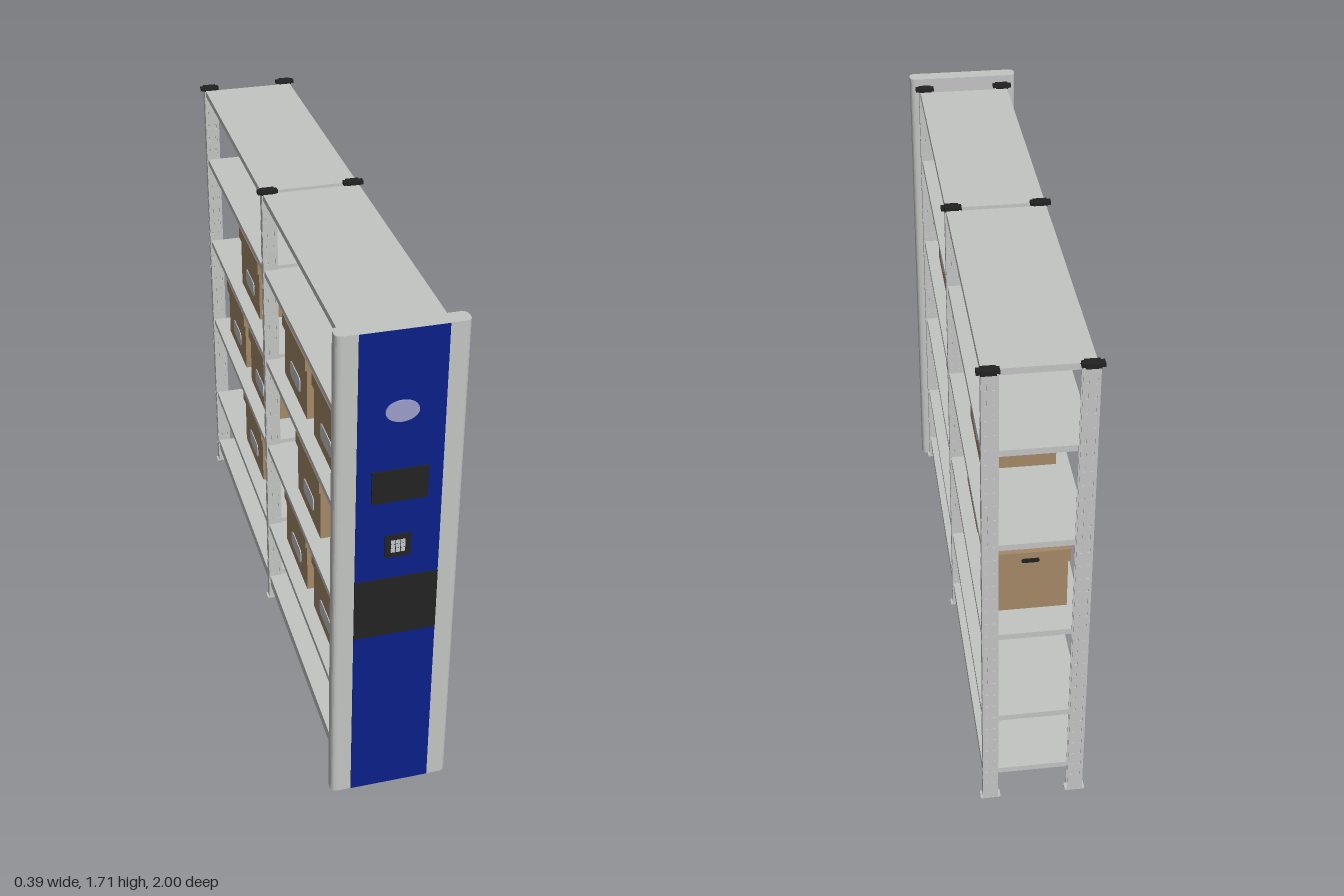
import * as THREE from 'three';

const mat = (name, color) => {
  const m = new THREE.MeshStandardMaterial({ color });
  m.name = name;
  return m;
};

export function createModel() {
  const steel = mat('light grey steel', 0xc3c5c3);
  const blue = mat('deep blue', 0x0b1f88);
  const black = mat('black plastic', 0x222222);
  const card = mat('brown cardboard', 0xa58968);
  const lilac = mat('pale lilac', 0x9a9dca);
  const label = mat('label grey', 0xc2c5c8);

  const root = new THREE.Group();
  root.name = 'shelvingUnit';

  const add = (parent, name, geo, material, x = 0, y = 0, z = 0) => {
    const m = new THREE.Mesh(geo, material);
    m.name = name;
    m.position.set(x, y, z);
    parent.add(m);
    return m;
  };
  const box = (parent, name, material, w, h, d, x, y, z) =>
    add(parent, name, new THREE.BoxGeometry(w, h, d), material, x, y, z);
  const group = (parent, name, x = 0, y = 0, z = 0) => {
    const g = new THREE.Group();
    g.name = name;
    g.position.set(x, y, z);
    parent.add(g);
    return g;
  };
  // rounded rectangle centred on the origin
  const roundRect = (w, h, r) => {
    const s = new THREE.Shape(), a = w / 2, b = h / 2;
    s.moveTo(-a + r, -b);
    s.lineTo(a - r, -b); s.quadraticCurveTo(a, -b, a, -b + r);
    s.lineTo(a, b - r); s.quadraticCurveTo(a, b, a - r, b);
    s.lineTo(-a + r, b); s.quadraticCurveTo(-a, b, -a, b - r);
    s.lineTo(-a, -b + r); s.quadraticCurveTo(-a, -b, -a + r, -b);
    return s;
  };
  const extrude = (shape, depth, curveSegments = 6) =>
    new THREE.ExtrudeGeometry(shape, { depth, bevelEnabled: false, curveSegments });

  // ---- Front end panel ----
  const panel = group(root, 'endPanel');
  const bodyGeo = extrude(roundRect(0.39, 0.054, 0.022), 1.71);
  bodyGeo.rotateX(-Math.PI / 2);
  add(panel, 'panelBody', bodyGeo, steel, 0, 0, 0.964);
  box(panel, 'bluePlate', blue, 0.26, 1.708, 0.004, 0, 0.855, 0.991);
  box(panel, 'darkBand', black, 0.26, 0.22, 0.003, 0, 0.75, 0.9935);
  box(panel, 'screen', black, 0.17, 0.11, 0.007, 0, 1.198, 0.9955);
  box(panel, 'keypad', black, 0.08, 0.08, 0.006, 0, 0.98, 0.995);
  for (let i = -1; i <= 1; i++)
    for (let j = -1; j <= 1; j++)
      box(panel, 'key', label, 0.013, 0.013, 0.002, i * 0.0155, 0.98 + j * 0.0155, 0.999);
  const oval = new THREE.Shape().absellipse(0, 0, 0.05, 0.035, 0, Math.PI * 2);
  add(panel, 'ovalBadge', extrude(oval, 0.006, 16), lilac, 0, 1.45, 0.992);

  // ---- Perforated posts ----
  const H = 1.672, POST_W = 0.05, POST_D = 0.028;
  const perforated = (w, columns, hw, hh) => {
    const s = new THREE.Shape();
    s.moveTo(-w / 2, 0); s.lineTo(w / 2, 0); s.lineTo(w / 2, H); s.lineTo(-w / 2, H);
    for (let y = 0.08; y < H - 0.03; y += 0.05)
      for (const c of columns) {
        const h = new THREE.Path();
        h.moveTo(c - hw, y - hh); h.lineTo(c - hw, y + hh);
        h.lineTo(c + hw, y + hh); h.lineTo(c + hw, y - hh);
        s.holes.push(h);
      }
    return extrude(s, 0.003);
  };
  const flangeGeo = perforated(POST_W, [-0.012, 0.012], 0.004, 0.009);
  flangeGeo.translate(0, 0, -0.0015);
  const webGeo = perforated(POST_D, [-0.009, 0.009], 0.002, 0.009);
  webGeo.translate(0, 0, -0.0015);
  webGeo.rotateY(Math.PI / 2);

  const postZ = [0.922, -0.0315, -0.985];
  for (const z of postZ)
    for (const side of [1, -1]) {
      const post = group(root, 'post', side * 0.14, 0, z);
      for (const f of [1, -1])
        add(post, 'postFlange', flangeGeo, steel, 0, 0, f * (POST_D / 2 - 0.0015));
      add(post, 'postWeb', webGeo, steel, side * (POST_W / 2 - 0.0015), 0, 0);
      box(post, 'postFoot', steel, 0.066, 0.005, 0.029, 0, 0.0025, 0);
      box(post, 'postCap', black, 0.045, 0.016, 0.03, side * 0.003, 1.677, 0);
      box(post, 'postCapLip', black, 0.066, 0.012, 0.022, side * 0.004, 1.677, 0);
    }

  // ---- Folded sheet shelves, hollow underneath ----
  const LEN = 0.925;
  const levels = [0.105, 0.348, 0.698, 1.053, 1.397, 1.672];
  for (const z of [0.4395, -0.508])
    levels.forEach((top, i) => {
      const shelf = group(root, 'shelf', 0, top, z);
      box(shelf, 'shelfTop', steel, 0.322, 0.004, LEN, 0, -0.002, 0);
      for (const s of [1, -1]) {
        box(shelf, 'sideLip', steel, 0.004, 0.018, LEN, s * 0.159, -0.012, 0);
        box(shelf, 'sideReturn', steel, 0.012, 0.003, LEN, s * 0.152, -0.0195, 0);
        box(shelf, 'endLip', steel, 0.314, 0.018, 0.004, 0, -0.012, s * (LEN / 2 - 0.002));
        box(shelf, 'endReturn', steel, 0.314, 0.003, 0.012, 0, -0.0195, s * (LEN / 2 - 0.006));
        if (i === 0)
          box(shelf, 'plinthRail', steel, 0.005, 0.024, LEN, s * 0.157, -0.033, 0);
      }
    });

  // ---- Archive boxes ----
  const labelGeo = extrude(roundRect(0.13, 0.056, 0.018), 0.004);
  const slotGeo = extrude(roundRect(0.055, 0.016, 0.007), 0.002);
  const archiveBox = (y, z) => {
    const g = group(root, 'archiveBox', 0, y, z);
    box(g, 'boxBody', card, 0.236, 0.19, 0.296, 0, 0.095, 0);
    box(g, 'boxLid', card, 0.25, 0.046, 0.308, 0, 0.208, 0);
    for (const s of [1, -1]) {
      add(g, 'boxLabel', labelGeo, label, s * 0.117, 0.074, 0).rotation.y = s * Math.PI / 2;
      add(g, 'handSlot', slotGeo, black, 0, 0.2, s * 0.1535).rotation.y = s > 0 ? 0 : Math.PI;
    }
  };
  const rows = [
    [0.348, [0.62, 0.23, -0.45]],
    [0.698, [0.405, -0.325, -0.713]],
    [1.053, [0.62, 0.23, -0.45]],
  ];
  for (const [y, zs] of rows) for (const z of zs) archiveBox(y, z);

  return root;
}
